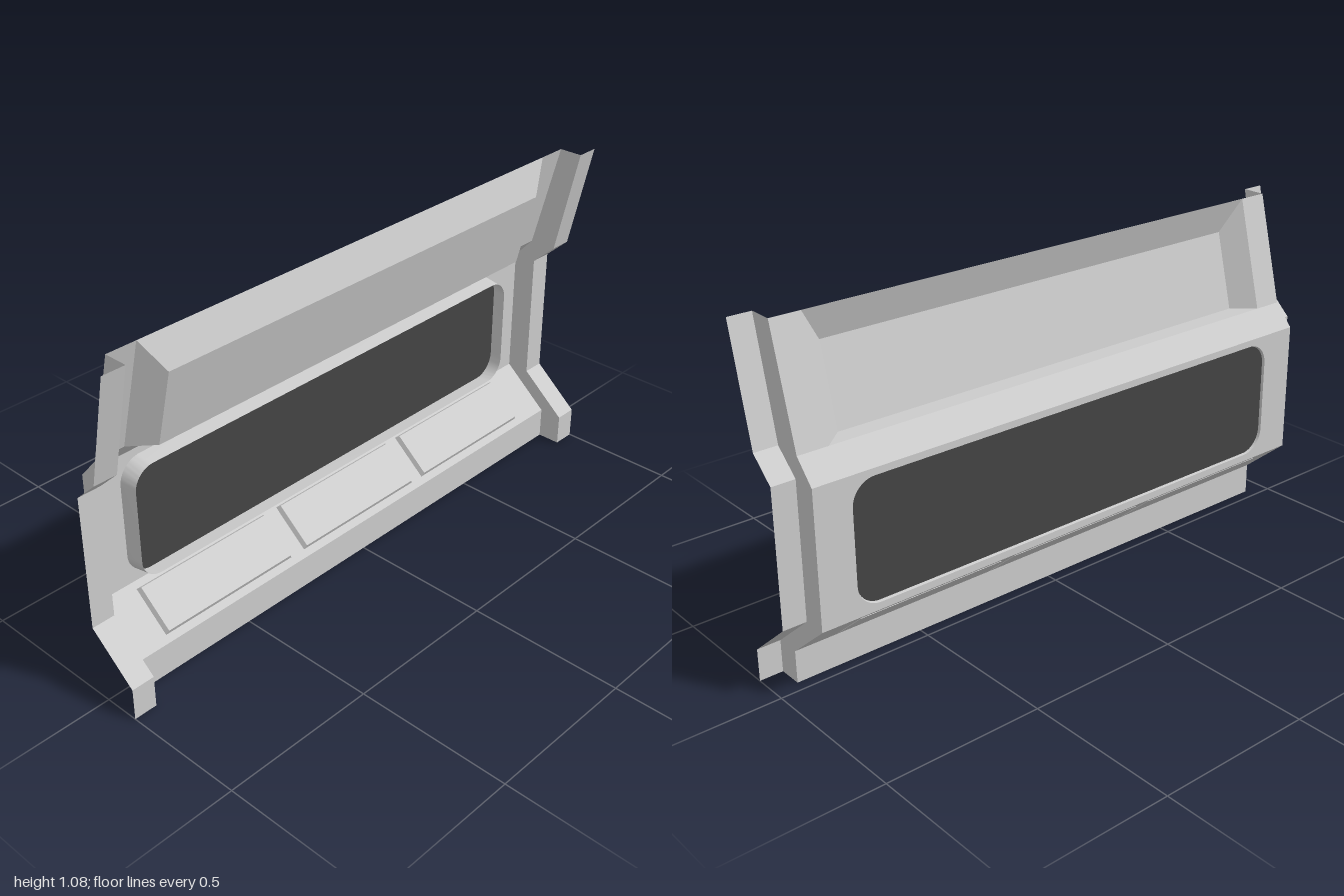
import * as THREE from 'three';
import { toCreasedNormals } from 'three/addons/utils/BufferGeometryUtils.js';

const grey = new THREE.MeshStandardMaterial({ color: 0xcccccc, side: THREE.DoubleSide });
const dark = new THREE.MeshStandardMaterial({ color: 0x444444, side: THREE.DoubleSide });

// Side profiles as [x, y], bottom to top: recessed panel and proud end rib
const PANEL = [[0.037, 0], [0.037, 0.103], [-0.116, 0.232], [-0.116, 0.66], [-0.053, 0.73], [0.037, 1.08]];
const RIB = [[0.114, 0], [0.114, 0.103], [-0.039, 0.232], [-0.039, 0.66], [0.037, 0.73], [0.114, 1.08]];
const END = 1, EDGE = 0.925, BAY = 0.828, BAY_IN = 0.76;

const at = (profile, z) => profile.map(([x, y]) => [x, y, z]);

// Sheet between consecutive rows of points
function loft(rows) {
  const pos = [];
  for (let r = 0; r + 1 < rows.length; r++) {
    for (let i = 0; i + 1 < rows[r].length; i++) {
      const [a, b, c, d] = [rows[r][i], rows[r][i + 1], rows[r + 1][i + 1], rows[r + 1][i]];
      pos.push(...a, ...b, ...c, ...a, ...c, ...d);
    }
  }
  const g = new THREE.BufferGeometry();
  g.setAttribute('position', new THREE.Float32BufferAttribute(pos, 3));
  g.computeVertexNormals();
  return toCreasedNormals(g, 0.5);
}

// Rounded rectangle for the window, shrunk by inset
function windowOutline(inset, Type = THREE.Shape) {
  const w = 0.806 - inset, b = 0.255 + inset, t = 0.638 - inset, r = 0.075 - inset;
  const s = new Type();
  s.moveTo(-w + r, b);
  s.lineTo(w - r, b);
  s.absarc(w - r, b + r, r, -Math.PI / 2, 0);
  s.absarc(w - r, t - r, r, 0, Math.PI / 2);
  s.absarc(-w + r, t - r, r, Math.PI / 2, Math.PI);
  s.absarc(-w + r, b + r, r, Math.PI, Math.PI * 1.5);
  return s;
}

const outlineRow = (inset, x) => {
  const pts = windowOutline(inset).getPoints(8).map(p => [x, p.y, -p.x]);
  return [...pts, pts[0]];
};

export function createModel() {
  const model = new THREE.Group();
  const add = (name, geometry, material = grey) => {
    const mesh = new THREE.Mesh(geometry, material);
    mesh.name = name;
    model.add(mesh);
    return mesh;
  };
  const band = (from, to, z) => {
    const p = PANEL.slice(from, to + 1);
    return loft([at(p, z), at(p, -z)]);
  };

  // Full-width folds of the panel
  add('lowerPanel', band(0, 2, EDGE));
  add('upperLedge', band(3, 4, EDGE));

  // Upright wall with the window opening
  const wall = new THREE.Shape([[-EDGE, 0.232], [EDGE, 0.232], [EDGE, 0.66], [-EDGE, 0.66]]
    .map(p => new THREE.Vector2(...p)));
  wall.holes.push(windowOutline(0, THREE.Path));
  add('windowWall', new THREE.ShapeGeometry(wall, 8).rotateY(Math.PI / 2).translate(-0.116, 0, 0));

  // Thin frame standing out around the window, and the dark pane at its back
  add('windowFrame', loft([outlineRow(0, -0.116), outlineRow(0.008, -0.061)]));
  add('windowPane', new THREE.ShapeGeometry(windowOutline(0.003), 8)
    .rotateY(Math.PI / 2).translate(-0.108, 0, 0), dark);

  // Upper bay pushed outward: floor, leaning face and top bevel
  const bay = [[-0.053, 0.73, BAY], [0.008, 0.73, BAY_IN], [0.07, 0.975, BAY_IN], [0.037, 1.08, BAY]];
  const flip = ([x, y, z]) => [x, y, -z];
  add('upperBay', loft([bay, bay.map(flip)]));

  // Mirrored end parts
  for (const s of [1, -1]) {
    const top = PANEL.slice(4);
    add('upperSideStrip', loft([at(top, s * EDGE), at(top, s * BAY)]));
    const [a, b, c, d] = s > 0 ? bay : bay.map(flip);
    add('bayCheek', loft([[a, d], [b, c]]));
    add('ribWall', loft([at(PANEL, s * EDGE), at(RIB, s * EDGE)]));
    add('ribFace', loft([at(RIB, s * END), at(RIB, s * EDGE)]));
  }

  // Three raised plates on the lower slope
  const slope = Math.atan2(0.153, 0.129);
  for (const z of [0.55, 0, -0.545]) {
    const g = new THREE.BoxGeometry(0.016, 0.155, 0.497);
    const p = g.attributes.position;
    for (let i = 0; i < p.count; i++) {
      if (p.getX(i) > 0) {
        p.setY(i, p.getY(i) - Math.sign(p.getY(i)) * 0.005);
        p.setZ(i, p.getZ(i) - Math.sign(p.getZ(i)) * 0.008);
      }
    }
    g.computeVertexNormals();
    const plate = add('slopePlate', g);
    plate.rotation.z = slope;
    plate.position.set(-0.036, 0.173, z);
  }
  return model;
}
